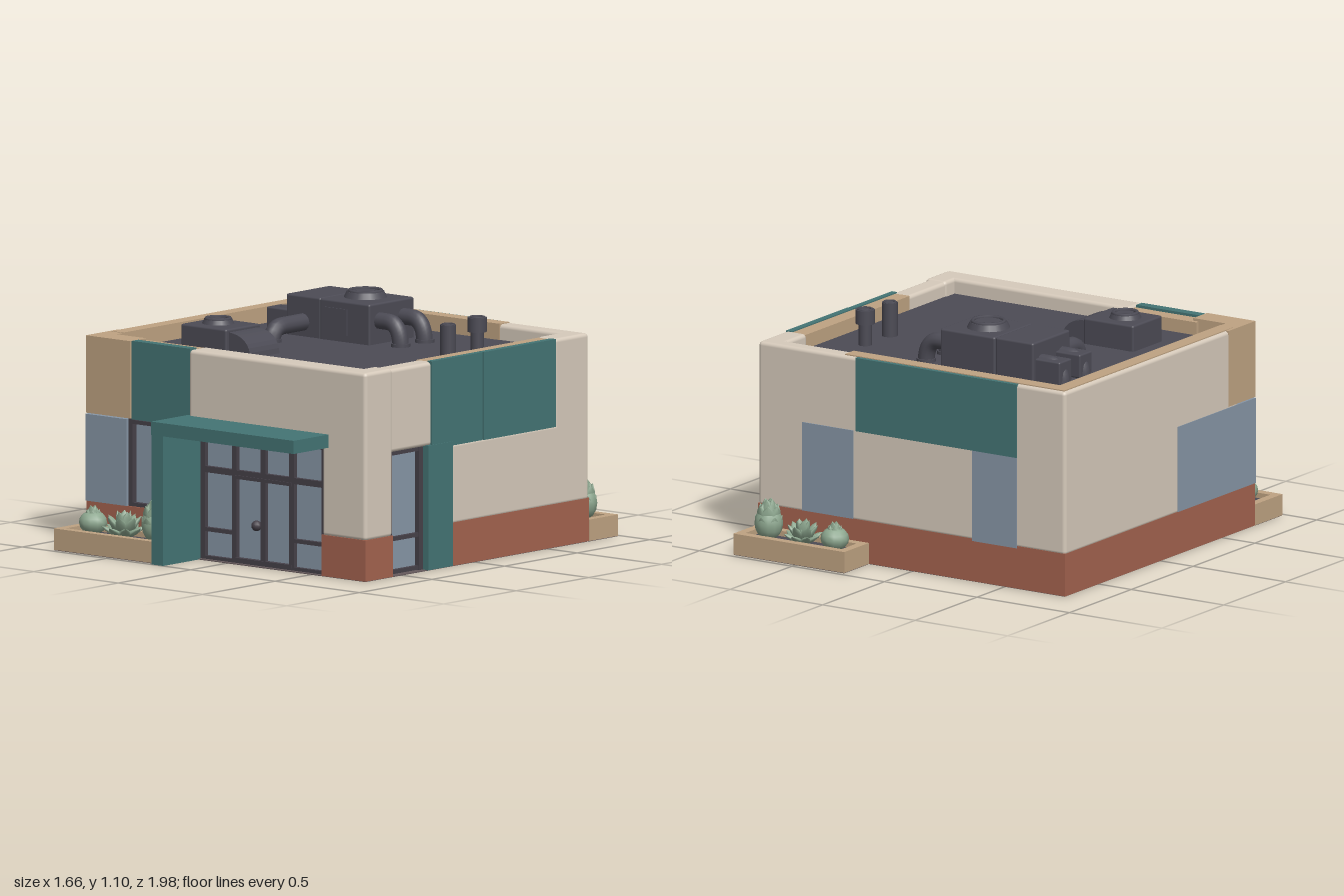
import * as THREE from 'three';
import { RoundedBoxGeometry } from 'three/addons/geometries/RoundedBoxGeometry.js';

const paint = (name, color) => {
  const m = new THREE.MeshStandardMaterial({ color });
  m.name = name;
  return m;
};

export function createModel() {
  const root = new THREE.Group();
  root.name = 'building';
  const cream = paint('cream plaster', 0xd6cabb), tan = paint('tan plaster', 0xbfa382);
  const teal = paint('teal panel', 0x447474), brick = paint('brick red', 0xa4634f);
  const glass = paint('glass', 0x8796a6), frameMat = paint('dark frame', 0x464149);
  const roofMat = paint('roof grey', 0x4c4b55), under = paint('underside', 0x665a5c);
  const leafMat = paint('succulent green', 0x8ea890);

  const add = (name, geo, mat, x = 0, y = 0, z = 0, parent = root) => {
    const m = new THREE.Mesh(geo, mat);
    m.name = name;
    m.position.set(x, y, z);
    parent.add(m);
    return m;
  };
  // Box given by its extents; r rounds the edges
  const box = (name, mat, x0, x1, y0, y1, z0, z1, r = 0) => {
    const w = x1 - x0, h = y1 - y0, d = z1 - z0;
    const geo = r ? new RoundedBoxGeometry(w, h, d, 2, r) : new THREE.BoxGeometry(w, h, d);
    return add(name, geo, mat, (x0 + x1) / 2, (y0 + y1) / 2, (z0 + z1) / 2);
  };

  // Base, core and roof deck
  box('underside', under, -0.825, 0.825, 0, 0.004, -0.775, 0.755);
  box('roofDeck', roofMat, -0.76, 0.73, 0.2, 0.88, -0.71, 0.66);
  box('brickBase', brick, -0.83, 0.76, 0.003, 0.2, -0.78, 0.68);
  box('brickBaseRight', brick, 0.7, 0.83, 0.003, 0.2, -0.78, 0.16);
  box('brickBaseFrontLeft', brick, -0.83, -0.36, 0.003, 0.2, 0.6, 0.755);
  box('brickBaseCorner', brick, 0.57, 0.83, 0.003, 0.19, 0.57, 0.76);

  // Plaster walls: back, left, right, front
  const R = 0.018;
  box('backWall', cream, -0.83, 0.83, 0.19, 0.95, -0.78, -0.7, R);
  box('leftWall', cream, -0.83, -0.75, 0.19, 0.95, -0.78, 0.62, R);
  box('rightWallBack', cream, 0.72, 0.83, 0.19, 0.95, -0.78, -0.545, R);
  box('rightWallLow', cream, 0.7, 0.83, 0.19, 0.56, -0.78, 0.17, R);
  box('rightWallOverDoor', cream, 0.725, 0.82, 0.565, 0.945, 0.27, 0.6, R);
  box('rightWallCorner', cream, 0.72, 0.83, 0.185, 0.95, 0.57, 0.76, R);
  box('frontWallCorner', cream, 0.57, 0.83, 0.185, 0.95, 0.645, 0.76, R);
  box('frontWallHeader', cream, -0.22, 0.83, 0.585, 0.95, 0.645, 0.76, R);

  // Tan corner and parapet linings
  box('tanCorner', tan, -0.832, -0.57, 0.6, 0.952, 0.645, 0.757);
  box('tanCornerSide', tan, -0.832, -0.745, 0.6, 0.952, 0.54, 0.757);
  box('parapetLeft', tan, -0.815, -0.745, 0.87, 0.954, -0.765, 0.6);
  box('parapetBack', tan, -0.815, 0.37, 0.87, 0.954, -0.765, -0.695);
  box('parapetRight', tan, 0.725, 0.8, 0.56, 0.945, -0.56, 0.29);
  box('parapetFront', tan, -0.6, -0.22, 0.6, 0.94, 0.625, 0.7);

  // Teal cladding
  box('frontTealPanel', teal, -0.57, -0.225, 0.595, 0.952, 0.7, 0.745);
  box('frontTealPier', teal, -0.365, -0.17, 0.003, 0.6, 0.66, 0.745);
  box('rightTealPanelFront', teal, 0.8, 0.828, 0.55, 0.95, -0.048, 0.3);
  box('rightTealPanelBack', teal, 0.8, 0.832, 0.55, 0.95, -0.55, -0.052);
  box('rightTealPier', teal, 0.74, 0.832, 0.003, 0.57, 0.16, 0.33);
  box('backTealPanel', teal, -0.57, 0.3, 0.61, 0.95, -0.786, -0.765);

  // Entrance canopy on its fin
  box('canopy', teal, -0.235, 0.61, 0.59, 0.65, 0.745, 1);
  box('canopyFin', teal, -0.235, -0.165, 0, 0.6, 0.74, 0.998);

  // Plain windows: wrapped front corner and two at the back
  box('cornerWindow', glass, -0.833, -0.59, 0.2, 0.595, 0.13, 0.759);
  box('backWindowLeft', glass, 0.315, 0.59, 0.2, 0.61, -0.784, -0.776);
  box('backWindowRight', glass, -0.57, -0.33, 0.19, 0.61, -0.784, -0.776);

  // Bars of a frame on the front wall
  const bar = (x0, x1, y0, y1, z = 0.735) => box('frameBar', frameMat, x0, x1, y0, y1, 0.69, z);
  // Framed front window
  box('frontWindow', glass, -0.59, -0.365, 0.2, 0.6, 0.65, 0.72);
  for (const x of [-0.576, -0.374]) bar(x - 0.012, x + 0.012, 0.2, 0.6, 0.745);
  for (const y of [0.207, 0.583]) bar(-0.588, -0.362, y - 0.008, y + 0.01, 0.745);

  // Storefront with double doors
  box('storefrontGlass', glass, -0.17, 0.575, 0.003, 0.6, 0.6, 0.715);
  for (const x of [-0.158, 0.03, 0.2, 0.37, 0.56]) bar(x - 0.014, x + 0.014, 0.003, 0.6);
  for (const [y, h] of [[0.583, 0.012], [0.412, 0.014], [0.011, 0.008]]) bar(-0.17, 0.575, y - h, y + h);
  for (const x of [-0.16, 0.38]) bar(x, x + 0.18, 0.13, 0.148);
  for (const y of [0.02, 0.395]) bar(0.03, 0.37, y - 0.008, y + 0.008, 0.74);
  add('doorKnob', new THREE.SphereGeometry(0.024, 12, 8), frameMat, 0.162, 0.185, 0.735);

  // Side door, set back from the right wall
  box('sideDoorGlass', glass, 0.65, 0.775, 0.003, 0.57, 0.32, 0.58);
  for (const z of [0.342, 0.557]) box('sideDoorPost', frameMat, 0.74, 0.8, 0.003, 0.565, z - 0.014, z + 0.014);
  for (const y of [0.015, 0.165, 0.555]) box('sideDoorRail', frameMat, 0.74, 0.795, y - 0.009, y + 0.009, 0.335, 0.57);

  // Rooftop machines
  const cyl = (name, r0, r1, y0, y1, x, z) =>
    add(name, new THREE.CylinderGeometry(r1, r0, y1 - y0, 20), roofMat, x, (y0 + y1) / 2, z);
  const rim = (x, y, z, r, t) => {
    add('rim', new THREE.TorusGeometry(r, t, 6, 20), roofMat, x, y, z).rotation.x = Math.PI / 2;
  };
  const fan = (x, y, z, r, h) => {
    cyl('fanHousing', r, r * 0.85, y, y + h, x, z);
    rim(x, y + h, z, r * 0.72, 0.01);
  };
  box('largeUnit', roofMat, -0.47, -0.265, 0.87, 1.065, -0.5, -0.2, 0.01);
  box('largeUnitFanBox', roofMat, -0.265, 0.03, 0.87, 1.065, -0.505, -0.195, 0.01);
  box('largeUnitDoor', roofMat, -0.23, -0.1, 0.91, 1.03, -0.2, -0.19);
  fan(-0.135, 1.06, -0.36, 0.1, 0.032);
  box('smallUnit', roofMat, -0.53, -0.26, 0.87, 1, 0.22, 0.455, 0.01);
  fan(-0.41, 0.995, 0.335, 0.075, 0.025);

  // Quarter-round hood beside the small unit
  const hood = new THREE.Shape();
  hood.moveTo(0, 0);
  hood.lineTo(0.13, 0);
  hood.quadraticCurveTo(0.12, 0.1, 0, 0.105);
  add('smallUnitHood', new THREE.ExtrudeGeometry(hood, { depth: 0.2, bevelEnabled: false, curveSegments: 8 }),
    roofMat, -0.262, 0.88, 0.235);

  // Elbow ducts bending down to the deck
  const duct = (x, z, dx, dz, y, len, r) => {
    const path = new THREE.CurvePath();
    const p = (t, h) => new THREE.Vector3(x + dx * t, h, z + dz * t);
    const b = Math.min(0.075, len * 0.7);
    path.add(new THREE.LineCurve3(p(-0.02, y), p(len - b, y)));
    path.add(new THREE.QuadraticBezierCurve3(p(len - b, y), p(len, y), p(len, 0.87)));
    add('elbowDuct', new THREE.TubeGeometry(path, 16, r, 12), roofMat);
    cyl('ductCollar', r * 1.15, r * 1.15, 0.87, 0.895, x + dx * len, z + dz * len);
  };
  for (const z of [-0.43, -0.265]) {
    duct(0.03, z, 1, 0, 0.985, 0.125, 0.038);
    duct(-0.47, z, -1, 0, 0.965, 0.11, 0.038);
    box('ductBox', roofMat, -0.6, -0.46, 0.88, 0.99, z - 0.05, z + 0.05, 0.008);
  }
  duct(-0.37, -0.2, 0, 1, 0.945, 0.215, 0.04);

  // Vent pipes
  cyl('ventPipe', 0.03, 0.03, 0.87, 1, 0.545, -0.34);
  cyl('ventCap', 0.044, 0.044, 0.98, 1.045, 0.545, -0.34);
  rim(0.545, 1.045, -0.34, 0.03, 0.006);
  cyl('ventPipe', 0.036, 0.036, 0.87, 1.035, 0.545, -0.14);
  rim(0.545, 1.035, -0.14, 0.026, 0.006);

  // Succulents: rings of pointed leaves, [count, tilt, length] for each ring
  const leafGeo = new THREE.LatheGeometry(
    [[0.001, 0], [0.2, 0.15], [0.32, 0.5], [0.2, 0.82], [0.001, 1]].map(([a, b]) => new THREE.Vector2(a, b)), 7);
  leafGeo.scale(1, 1, 0.45);
  const plant = (x, z, rings, fat) => {
    const g = new THREE.Group();
    g.name = 'succulent';
    g.position.set(x, 0.075, z);
    root.add(g);
    rings.forEach(([n, tilt, len], k) => {
      for (let i = 0; i < n; i++) {
        const leaf = add('leaf', leafGeo, leafMat, 0, 0, 0, g);
        leaf.rotation.order = 'YXZ';
        leaf.rotation.set(tilt, (i + k * 0.5) / n * Math.PI * 2, 0);
        leaf.scale.set(len * fat, len, len * fat);
      }
    });
  };
  const agave = (x, z, s) => plant(x, z, [[8, 1.05, 0.115 * s], [7, 0.65, 0.13 * s], [5, 0.25, 0.13 * s]], 0.8);
  const bulb = (x, z, h) => {
    plant(x, z, [[6, 0.5, h * 0.68], [6, 0.28, h * 0.88], [4, 0.1, h]], 1);
    const core = add('bulbCore', new THREE.SphereGeometry(1, 12, 8), leafMat, x, 0.075 + h * 0.4, z);
    core.scale.set(0.065, h * 0.42, 0.065);
  };

  // Planter troughs
  const planter = (x0, x1, z0, z1) => {
    const t = 0.04;
    box('planterSoil', roofMat, x0 + t, x1 - t, 0.003, 0.075, z0 + t, z1 - t);
    for (const z of [z0, z1 - t]) box('planterSide', tan, x0, x1, 0.003, 0.1, z, z + t);
    for (const x of [x0, x1 - t]) box('planterEnd', tan, x, x + t, 0.003, 0.1, z0 + t, z1 - t);
    box('planterUnderside', under, x0 + 0.003, x1 - 0.003, 0, 0.003, z0 + 0.003, z1 - 0.003);
  };
  planter(-0.83, -0.25, 0.757, 0.98);
  bulb(-0.7, 0.86, 0.13);
  agave(-0.505, 0.875, 1);
  bulb(-0.325, 0.865, 0.2);
  planter(0.23, 0.83, -0.98, -0.781);
  bulb(0.345, -0.885, 0.13);
  agave(0.52, -0.88, 0.9);
  bulb(0.695, -0.895, 0.19);

  return root;
}
